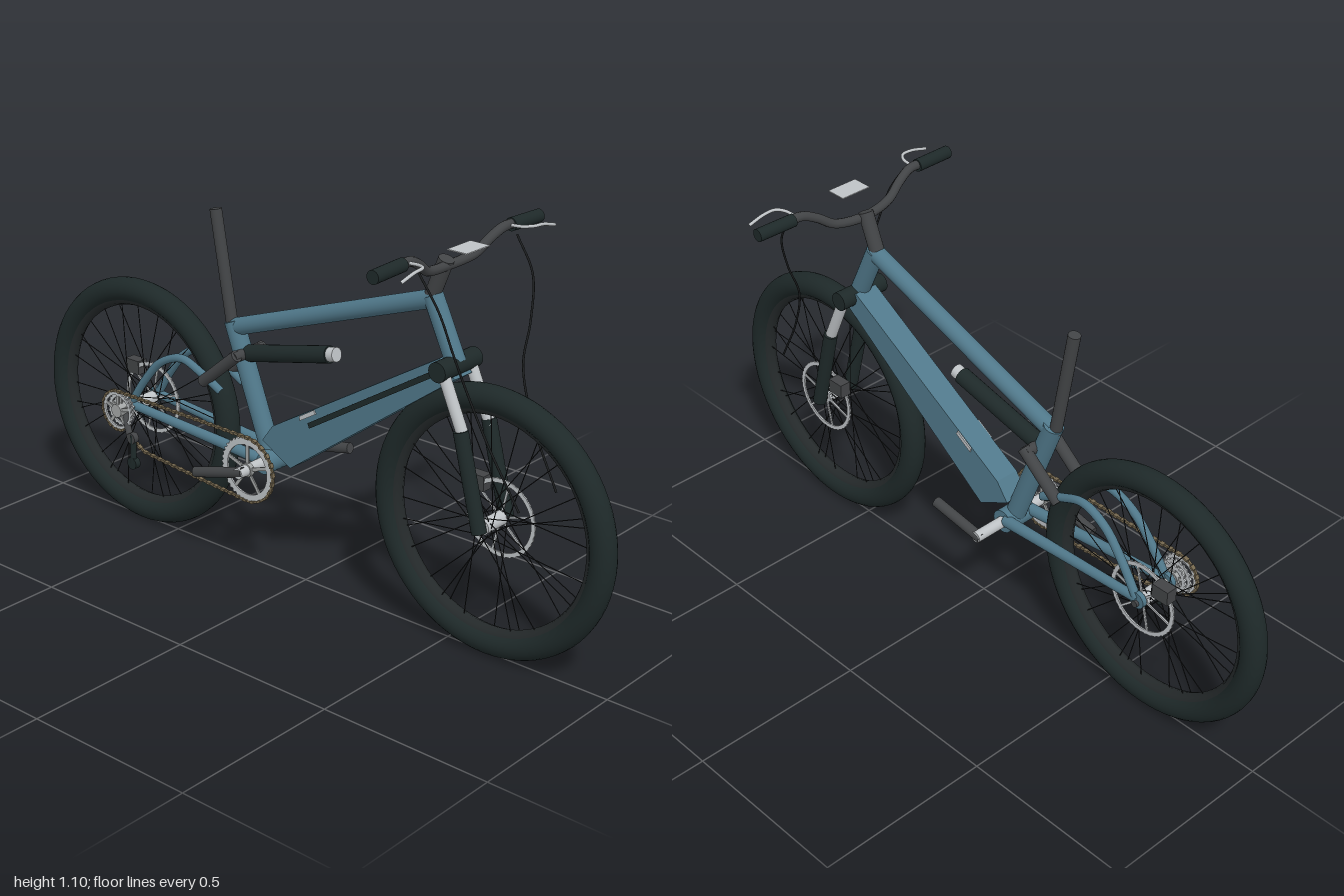
import * as THREE from 'three';
import { mergeGeometries } from 'three/addons/utils/BufferGeometryUtils.js';

const V = (p) => new THREE.Vector3(...p);
const shapeOf = (pts) => new THREE.Shape(pts.map((p) => new THREE.Vector2(...p)));
const material = (name, color, side = THREE.FrontSide) => {
  const m = new THREE.MeshStandardMaterial({ color, side });
  m.name = name;
  return m;
};

// Cylinder geometry running between two points
function rodGeometry(a, b, r, r2 = r, sides = 20) {
  const from = V(a), dir = V(b).sub(from), len = dir.length();
  const g = new THREE.CylinderGeometry(r2, r, len, sides);
  g.applyQuaternion(new THREE.Quaternion().setFromUnitVectors(new THREE.Vector3(0, 1, 0), dir.normalize()));
  return g.translate(...from.addScaledVector(dir, len / 2).toArray());
}

// Flat toothed ring facing z
function toothedRing(outer, inner, teeth, tooth, depth) {
  const pts = [];
  for (let i = 0; i < teeth * 2; i++) {
    const a = (i / teeth) * Math.PI, r = outer - (i % 2 ? tooth : 0);
    pts.push([Math.cos(a) * r, Math.sin(a) * r]);
  }
  const shape = shapeOf(pts);
  shape.holes.push(new THREE.Path().absarc(0, 0, inner, 0, Math.PI * 2, true));
  return new THREE.ExtrudeGeometry(shape, { depth, bevelEnabled: false, curveSegments: 32 }).translate(0, 0, -depth / 2);
}

// Radial arms facing z
function spider(radius, arms, width, depth) {
  const parts = [];
  for (let i = 0; i < arms; i++) {
    parts.push(new THREE.BoxGeometry(radius, width, depth).translate(radius / 2, 0, 0).rotateZ((i / arms) * Math.PI * 2 + 0.3));
  }
  return mergeGeometries(parts);
}

// Chain of alternating wide and narrow links along a closed path in the xy plane
function chainGeometry(points, count) {
  const curve = new THREE.CatmullRomCurve3(points.map(V), true, 'catmullrom', 0.2);
  const links = [];
  for (let i = 0; i < count; i++) {
    const p = curve.getPointAt(i / count), t = curve.getTangentAt(i / count);
    links.push(new THREE.BoxGeometry(0.013, 0.007, i % 2 ? 0.006 : 0.012).rotateZ(Math.atan2(t.y, t.x)).translate(p.x, p.y, p.z));
  }
  return mergeGeometries(links);
}

export function createModel() {
  const blue = material('frame blue', 0x50788a);
  const black = material('rubber black', 0x1e2929);
  const dark = material('dark grey metal', 0x424446);
  const silver = material('silver metal', 0xbfc3c6);
  const steel = material('gear steel', 0xa3a6a6);
  const wire = material('wire black', 0x1b1d1e);
  const rimBlack = material('rim black', 0x252a2b, THREE.DoubleSide);
  const bronze = material('chain bronze', 0x75684f);

  const bike = new THREE.Group();
  bike.name = 'bicycle';
  const add = (name, geometry, mat, parent = bike) => {
    const m = new THREE.Mesh(geometry, mat);
    m.name = name;
    parent.add(m);
    return m;
  };
  const rod = (name, a, b, r, mat, r2) => add(name, rodGeometry(a, b, r, r2), mat);
  const tube = (name, pts, r, mat) =>
    add(name, new THREE.TubeGeometry(new THREE.CatmullRomCurve3(pts.map(V)), 64, r, 10), mat);

  // Wheels: tyre, rim, crossed spokes, hub and brake rotor
  const wheelY = 0.373;
  const rim = [[0.313, -0.02], [0.297, -0.015], [0.29, 0], [0.297, 0.015], [0.313, 0.02]].map((p) => new THREE.Vector2(...p));
  for (const [name, x] of [['frontWheel', 0.628], ['rearWheel', -0.628]]) {
    const wheel = new THREE.Group();
    wheel.name = name;
    wheel.position.set(x, wheelY, 0);
    bike.add(wheel);
    add('tyre', new THREE.TorusGeometry(0.337, 0.035, 20, 72), black, wheel);
    add('rim', new THREE.LatheGeometry(rim, 72).rotateX(Math.PI / 2), rimBlack, wheel);
    const spokes = [];
    for (let i = 0; i < 32; i++) {
      const a = ((i + (i % 4 < 2 ? 0.3 : -0.3)) / 32) * Math.PI * 2, side = i % 2 ? 1 : -1;
      const h = a + (i % 4 < 2 ? 1.2 : -1.2);
      spokes.push(rodGeometry([Math.cos(h) * 0.024, Math.sin(h) * 0.024, side * 0.034],
        [Math.cos(a) * 0.296, Math.sin(a) * 0.296, side * 0.004], 0.0014, 0.0014, 5));
    }
    add('spokes', mergeGeometries(spokes), wire, wheel);
    add('hub', rodGeometry([0, 0, -0.04], [0, 0, 0.04], 0.02), silver, wheel);
    add('axle', rodGeometry([0, 0, -0.07], [0, 0, 0.075], 0.01), dark, wheel);
    const rotor = new THREE.Group();
    rotor.name = 'brakeRotor';
    rotor.position.z = -0.038;
    wheel.add(rotor);
    add('rotorRing', toothedRing(0.109, 0.096, 40, 0.002, 0.004), silver, rotor);
    add('rotorArms', spider(0.098, 6, 0.006, 0.004), silver, rotor);
    const caliper = add('brakeCaliper', new THREE.BoxGeometry(0.052, 0.042, 0.034), dark);
    caliper.position.set(x - 0.08, wheelY + 0.078, -0.05);
  }

  // Main frame
  rod('topTube', [-0.255, 0.692, 0], [0.43, 0.93, 0], 0.025, blue);
  rod('headTube', [0.423, 0.937, 0], [0.5, 0.775, 0], 0.027, blue);
  rod('seatTube', [-0.262, 0.708, 0], [-0.125, 0.345, 0], 0.028, blue);
  rod('bottomBracket', [-0.12, 0.337, -0.045], [-0.12, 0.337, 0.045], 0.034, blue);
  const beam = shapeOf([[0.475, 0.79], [-0.09, 0.452], [-0.128, 0.4], [-0.025, 0.345], [0.525, 0.745]]);
  add('downTube', new THREE.ExtrudeGeometry(beam, { depth: 0.072, bevelEnabled: false }).translate(0, 0, -0.036), blue);
  const slot = shapeOf([[0.04, 0.497], [0.046, 0.483], [0.468, 0.742], [0.461, 0.756]]);
  add('batterySlot', new THREE.ExtrudeGeometry(slot, { depth: 0.004, bevelEnabled: false }).translate(0, 0, 0.0355), black);
  const port = shapeOf([[0.01, 0.509], [0.013, 0.497], [0.068, 0.53], [0.062, 0.541]]);
  for (const z of [-0.04, 0.036]) {
    add('controlPlate', new THREE.ExtrudeGeometry(port, { depth: 0.004, bevelEnabled: false }).translate(0, 0, z), silver);
  }

  // Seat post
  rod('seatPost', [-0.268, 0.69, 0], [-0.325, 1.015, 0], 0.017, dark);

  // Rear suspension
  rod('shockBody', [-0.21, 0.625, 0], [0.085, 0.694, 0], 0.024, black);
  rod('shockTip', [0.08, 0.693, 0], [0.108, 0.699, 0], 0.02, silver);
  rod('rockerBridge', [-0.215, 0.625, -0.058], [-0.215, 0.625, 0.058], 0.016, dark);
  for (const s of [-1, 1]) {
    rod('rockerArm', [-0.335, 0.525, s * 0.052], [-0.205, 0.632, s * 0.052], 0.017, dark);
    tube('seatStay', [[-0.622, 0.385, s * 0.056], [-0.565, 0.47, s * 0.054], [-0.5, 0.54, s * 0.051], [-0.42, 0.57, s * 0.048],
      [-0.345, 0.545, s * 0.047], [-0.27, 0.508, s * 0.046]], 0.012, blue);
    rod('chainStay', [-0.628, 0.382, s * 0.055], [-0.13, 0.345, s * 0.042], 0.013, blue, 0.017);
    rod('dropout', [-0.628, 0.38, s * 0.048], [-0.628, 0.38, s * 0.062], 0.024, blue);
  }

  // Fork
  rod('forkCrown', [0.5, 0.77, -0.078], [0.5, 0.77, 0.078], 0.027, black);
  for (const s of [-1, 1]) {
    rod('forkStanchion', [0.503, 0.765, s * 0.056], [0.572, 0.61, s * 0.056], 0.016, silver);
    rod('forkLower', [0.565, 0.625, s * 0.059], [0.632, 0.365, s * 0.059], 0.02, black);
  }

  // Steering: stem, swept bar, grips, levers, cables and display
  rod('stem', [0.421, 0.937, 0], [0.462, 1.04, 0], 0.021, dark);
  const half = [[0.47, 1.026, 0.05], [0.478, 1.036, 0.1], [0.488, 1.066, 0.145], [0.496, 1.086, 0.19], [0.498, 1.086, 0.24], [0.5, 1.085, 0.33]];
  const flip = ([x, y, z]) => [x, y, -z];
  tube('handlebar', [...half.map(flip).reverse(), [0.466, 1.024, 0], ...half], 0.013, dark);
  for (const s of [-1, 1]) {
    const side = (pts) => pts.map(([x, y, z]) => [x, y, s * z]);
    rod('grip', [0.497, 1.085, s * 0.218], [0.501, 1.083, s * 0.335], 0.018, black);
    tube('brakeLever', side([[0.505, 1.088, 0.205], [0.54, 1.09, 0.208], [0.562, 1.092, 0.225], [0.566, 1.09, 0.26], [0.566, 1.077, 0.312]]), 0.0045, silver);
    tube('brakeCable', side([[0.53, 1.07, 0.2], [0.588, 0.98, 0.192], [0.61, 0.87, 0.16], [0.622, 0.765, 0.118],
      [0.675, 0.63, 0.095], [0.765, 0.47, 0.08]]), 0.003, wire);
  }
  add('display', new THREE.BoxGeometry(0.06, 0.003, 0.094), silver).position.set(0.528, 1.082, 0);

  // Cranks
  rod('crankAxle', [-0.12, 0.337, -0.145], [-0.12, 0.337, 0.145], 0.016, silver);
  rod('rightCrank', [-0.11, 0.34, 0.133], [-0.285, 0.294, 0.14], 0.015, dark);
  rod('leftCrank', [-0.13, 0.333, -0.133], [0.04, 0.367, -0.14], 0.015, dark);

  // Chainring and cassette
  for (const [name, x, y, z, r, teeth, hole] of [['chainring', -0.12, 0.337, 0.105, 0.095, 38, 0.073], ['sprocket', -0.628, 0.375, 0.105, 0.06, 24, 0.047],
    ['sprocketMiddle', -0.628, 0.375, 0.092, 0.052, 22, 0.038], ['sprocketInner', -0.628, 0.375, 0.08, 0.045, 20, 0.03]]) {
    const gear = new THREE.Group();
    gear.name = name;
    gear.position.set(x, y, z);
    bike.add(gear);
    add('teeth', toothedRing(r, hole, teeth, 0.006, 0.005), silver, gear);
    add('arms', spider(hole + 0.004, 5, 0.01, 0.004), steel, gear);
    add('boss', rodGeometry([0, 0, -0.007], [0, 0, 0.007], 0.02), steel, gear);
  }
  rod('freehub', [-0.628, 0.375, 0.04], [-0.628, 0.375, 0.112], 0.016, steel);

  // Chain loop round both gears, dipping to the derailleur
  const chain = [];
  const arc = (x, y, r, from, to) => {
    for (let i = 0; i <= 8; i++) {
      const a = from + (i / 8) * (to - from);
      chain.push([x + Math.cos(a) * r, y + Math.sin(a) * r, 0.105]);
    }
  };
  arc(-0.12, 0.337, 0.094, Math.PI / 2, -Math.PI / 2);
  chain.push([-0.3, 0.256, 0.105], [-0.52, 0.276, 0.105], [-0.56, 0.3, 0.105]);
  arc(-0.628, 0.375, 0.06, -0.9, -1.5 * Math.PI);
  chain.push([-0.4, 0.433, 0.105]);
  add('chain', chainGeometry(chain, 110), bronze);

  // Derailleur
  rod('derailleurHanger', [-0.622, 0.365, 0.085], [-0.565, 0.315, 0.12], 0.01, dark);
  rod('derailleurCage', [-0.55, 0.325, 0.122], [-0.552, 0.238, 0.122], 0.009, black);
  rod('upperPulley', [-0.553, 0.315, 0.112], [-0.553, 0.315, 0.13], 0.016, dark);
  rod('lowerPulley', [-0.552, 0.238, 0.112], [-0.552, 0.238, 0.13], 0.018, black);
  return bike;
}
